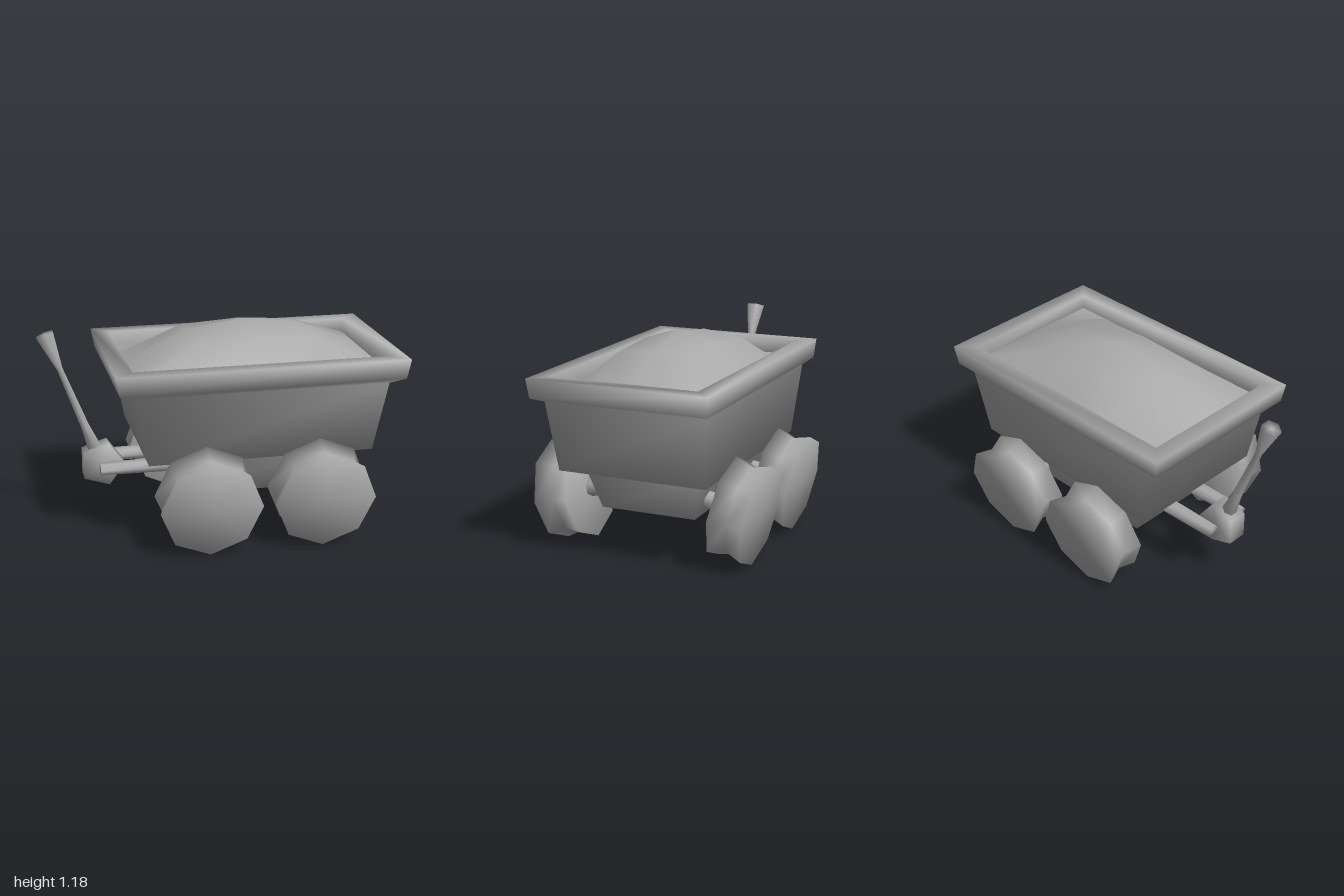
import * as THREE from 'three';
import { mergeVertices } from 'three/addons/utils/BufferGeometryUtils.js';

const gray = new THREE.MeshStandardMaterial({ color: 0xaaaaaa });
gray.name = 'plain gray';
const CENTER = 0.185; // middle of the tub along x

// Weld all corners so that shading runs smoothly across the edges
function smooth(geometry) {
  geometry.deleteAttribute('normal');
  geometry.deleteAttribute('uv');
  const welded = mergeVertices(geometry, 1e-4);
  welded.computeVertexNormals();
  return welded;
}

function part(name, geometry, parent) {
  const mesh = new THREE.Mesh(smooth(geometry), gray);
  mesh.name = name;
  parent.add(mesh);
  return mesh;
}

// Low-sided turned solid around y from [radius, height] pairs
function turned(profile, sides) {
  return new THREE.LatheGeometry(profile.map(([r, h]) => new THREE.Vector2(r, h)), sides);
}

// Stack of rectangles [y, halfX, halfZ] with a closed underside
function rectLoft(levels) {
  const points = [];
  const index = [0, 2, 1, 0, 3, 2];
  levels.forEach(([y, hx, hz], i) => {
    [[1, 1], [1, -1], [-1, -1], [-1, 1]].forEach(([sx, sz], j) => {
      points.push(CENTER + sx * hx, y, sz * hz);
      if (i + 1 < levels.length) {
        const a = i * 4 + j, b = i * 4 + (j + 1) % 4;
        index.push(a, b, b + 4, a, b + 4, a + 4);
      }
    });
  });
  const g = new THREE.BufferGeometry();
  g.setAttribute('position', new THREE.Float32BufferAttribute(points, 3));
  g.setIndex(index);
  return g;
}

// Domed heap: a 5 x 5 grid raised towards the middle
function heapGeometry() {
  const g = new THREE.PlaneGeometry(2, 2, 4, 4).rotateX(-Math.PI / 2);
  const p = g.attributes.position;
  const xs = [0, 0.33, 0.715], zs = [0, 0.22, 0.42];
  const heights = [[1.19, 1.135, 0.955], [1.145, 1.115, 0.955], [0.955, 0.955, 0.955]];
  for (let i = 0; i < p.count; i++) {
    const u = Math.round(p.getX(i) * 2), v = Math.round(p.getZ(i) * 2);
    const a = Math.abs(u), b = Math.abs(v);
    p.setXYZ(i, CENTER + Math.sign(u) * xs[a], heights[a][b], Math.sign(v) * zs[b]);
  }
  return g;
}

export function createModel() {
  const model = new THREE.Group();
  model.name = 'mineCart';

  // Tub with overhanging rim and a short inner wall
  part('tub', rectLoft([
    [0.505, 0.635, 0.43],
    [0.9, 0.71, 0.465],
    [0.93, 0.795, 0.505],
    [1.04, 0.815, 0.515],
    [1.04, 0.715, 0.42],
    [0.95, 0.715, 0.42],
  ]), model);
  part('heap', heapGeometry(), model);

  // Tapered undercarriage
  part('undercarriage', rectLoft([[0.26, 0.435, 0.277], [0.51, 0.505, 0.347]]), model);

  // Splayed spool-shaped wheels on stub axles
  const tilt = Math.PI / 2 + 0.17;
  for (const x of [-0.135, 0.505]) {
    for (const turn of [0, Math.PI]) {
      const set = new THREE.Group();
      set.name = 'wheelSet';
      set.position.x = x;
      set.rotation.y = turn;
      const wheel = turned([[0, -0.0975], [0.286, -0.0975], [0.252, 0], [0.286, 0.0975], [0, 0.0975]], 8);
      part('wheel', wheel.rotateX(tilt).translate(0, 0.307, 0.514), set);
      const axle = turned([[0, -0.2], [0.05, -0.2], [0.055, 0], [0, 0]], 6);
      part('axle', axle.rotateX(tilt).translate(0, 0.325, 0.414), set);
      model.add(set);
    }
  }

  // Lever bracket: two arms holding a five-sided hub
  for (const z of [-0.115, 0.115]) {
    const arm = turned([[0, 0], [0.055, 0], [0.048, 0.42], [0, 0.42]], 6);
    arm.rotateZ(Math.PI / 2).scale(1, 0.72, 1);
    part('leverArm', arm.translate(-0.255, 0.39, z), model);
  }
  const hub = turned([[0, -0.057], [0.128, -0.057], [0.128, 0.057], [0, 0.057]], 5);
  hub.rotateY(Math.PI / 2).rotateX(Math.PI / 2);
  part('leverHub', hub.translate(-0.655, 0.39, 0), model);

  // Lever with flared grip
  const lever = turned([
    [0, 0], [0.042, 0], [0.027, 0.13], [0.019, 0.5], [0.056, 0.713], [0, 0.713],
  ], 6);
  lever.rotateZ(Math.atan2(0.253, 0.67));
  part('lever', lever.translate(-0.695, 0.49, 0), model);

  return model;
}
